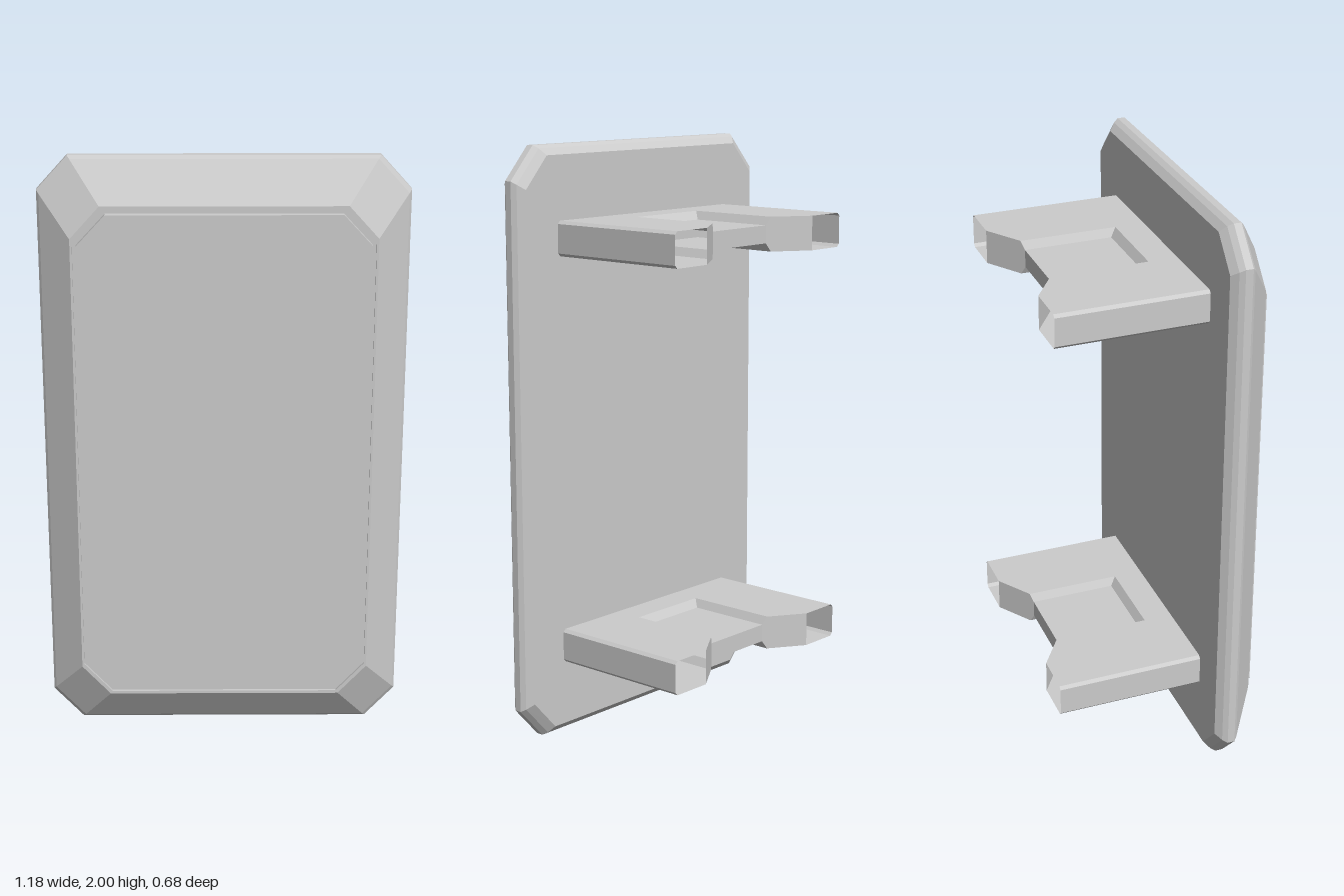
import * as THREE from 'three';

const material = new THREE.MeshStandardMaterial({ color: 0xcccccc, flatShading: true, side: THREE.DoubleSide });

// Mesh from a list of convex polygons, each fanned into triangles
function polygonMesh(name, polygons) {
  const positions = [];
  for (const p of polygons)
    for (let i = 1; i < p.length - 1; i++) positions.push(...p[0], ...p[i], ...p[i + 1]);
  const geometry = new THREE.BufferGeometry();
  geometry.setAttribute('position', new THREE.Float32BufferAttribute(positions, 3));
  geometry.computeVertexNormals();
  const mesh = new THREE.Mesh(geometry, material);
  mesh.name = name;
  return mesh;
}

// Rectangle with cut corners, counter-clockwise seen from the front
function cutRect(w, h, cx, cy, z) {
  return [[w, h - cy], [w - cx, h], [cx - w, h], [-w, h - cy],
    [-w, cy - h], [cx - w, -h], [w - cx, -h], [w, cy - h]].map(([x, y]) => [x, y, z]);
}

// Closed loft through cut-corner rings ordered from back to front
function loft(name, rows) {
  const rings = rows.map((r) => cutRect(...r));
  const faces = [rings[0].slice().reverse(), rings.at(-1)];
  for (let i = 0; i < rings.length - 1; i++)
    for (let k = 0; k < 8; k++) {
      const n = (k + 1) % 8;
      faces.push([rings[i][k], rings[i][n], rings[i + 1][n], rings[i + 1][k]]);
    }
  return polygonMesh(name, faces);
}

// Hollow forked bracket: one quarter mirrored left/right and up/down, arm ends open
function bracket(name) {
  const h = 0.058, c = 0.01, p = 0.03; // half height, edge chamfer, half height at the pocket
  const front = 0.17, back = -0.34;
  const quarter = [
    // flat top
    [[0, h, front], [0.15, h, front], [0.15, h, 0.07], [0, h, 0.07]],
    [[0.15, h, front], [0.41, h, front], [0.41, h, back], [0.27, h, back], [0.15, h, -0.26]],
    // pocket slopes and floor
    [[0, h, 0.07], [0.15, h, 0.07], [0.135, p, 0.05], [0, p, 0.05]],
    [[0.15, h, 0.07], [0.15, h, -0.26], [0.135, p, -0.25], [0.135, p, 0.05]],
    [[0, p, 0.05], [0.135, p, 0.05], [0.135, p, -0.25], [0, p, -0.25]],
    // notch between the arms
    [[0, p, -0.25], [0.135, p, -0.25], [0.135, 0, -0.25], [0, 0, -0.25]],
    [[0.15, h, -0.26], [0.15, 0, -0.26], [0.135, 0, -0.25], [0.135, p, -0.25]],
    [[0.15, h, -0.26], [0.27, h, back], [0.27, 0, back], [0.15, 0, -0.26]],
    // chamfered edge and outer side
    [[0.41, h, front], [0.42, h - c, front], [0.42, h - c, back], [0.41, h, back]],
    [[0.42, h - c, front], [0.42, 0, front], [0.42, 0, back], [0.42, h - c, back]],
  ];
  const faces = [];
  for (const sx of [1, -1])
    for (const sy of [1, -1])
      for (const q of quarter) {
        const face = q.map(([x, y, z]) => [x * sx, y * sy, z]);
        faces.push(sx * sy < 0 ? face.reverse() : face);
      }
  return polygonMesh(name, faces);
}

export function createModel() {
  const group = new THREE.Group();
  group.name = 'coverPlate';

  // Bevelled plate with a fine groove around the raised front panel
  const plate = loft('plate', [
    [0.56, 0.968, 0.095, 0.105, 0.17],
    [0.582, 0.99, 0.1, 0.11, 0.19],
    [0.592, 1, 0.1, 0.11, 0.207],
    [0.592, 1, 0.1, 0.11, 0.232],
    [0.584, 0.99, 0.1, 0.11, 0.242],
    [0.485, 0.86, 0.095, 0.105, 0.327],
    [0.478, 0.85, 0.095, 0.105, 0.327],
    [0.478, 0.85, 0.095, 0.105, 0.318],
    [0.465, 0.835, 0.092, 0.1, 0.318],
    [0.465, 0.835, 0.092, 0.1, 0.34],
  ]);
  plate.position.y = 1;
  group.add(plate);

  // Two mounting brackets on the back
  for (const [name, y] of [['lowerBracket', 0.31], ['upperBracket', 1.697]]) {
    const part = bracket(name);
    part.position.y = y;
    group.add(part);
  }
  return group;
}
